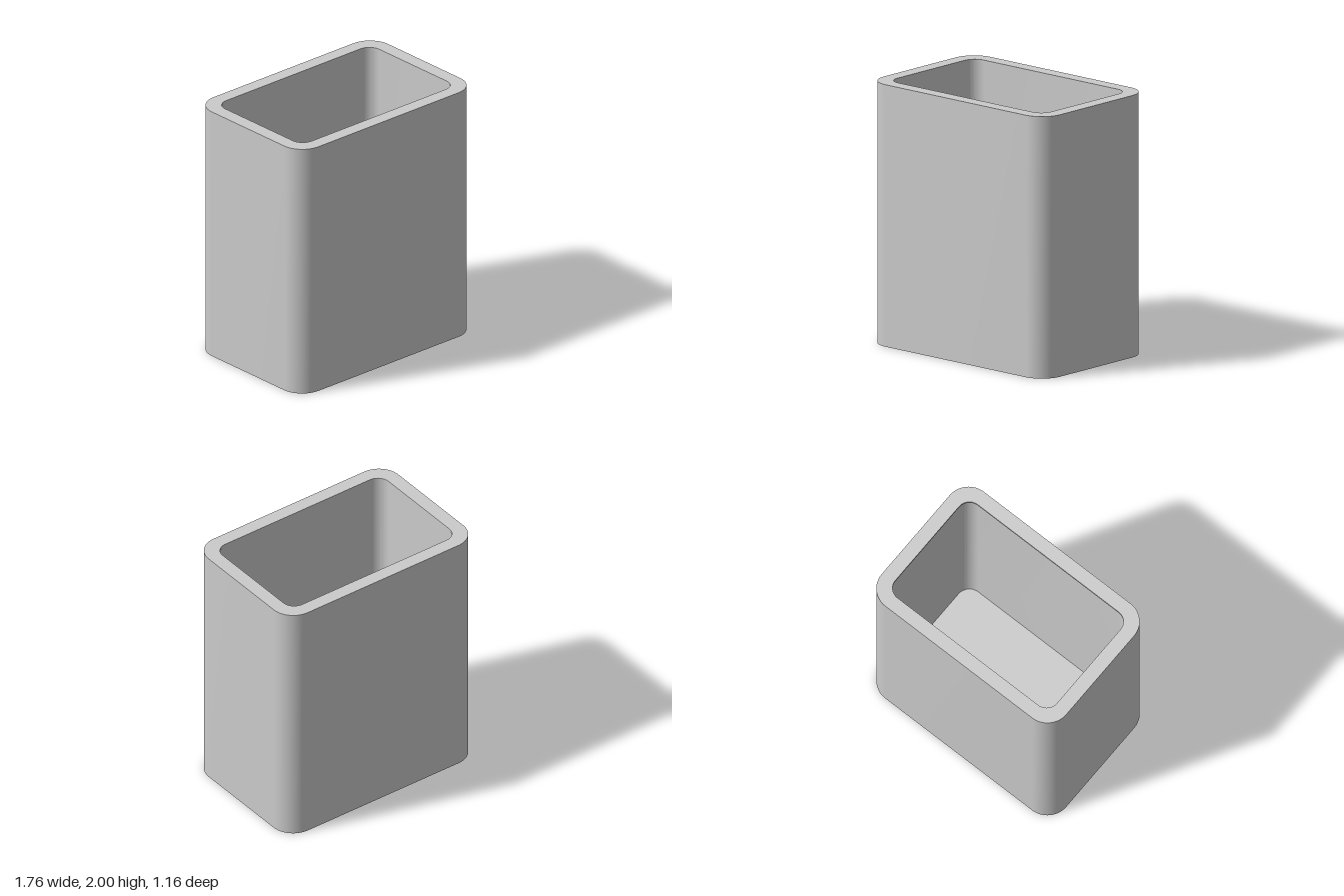
import * as THREE from 'three';
import { toCreasedNormals } from 'three/addons/utils/BufferGeometryUtils.js';

const CORNER_STEPS = 16;

// Rounded rectangle loop at height y, given half sizes and corner radius
function loop({ x, z, r, y }) {
  const centres = [[1, 1], [-1, 1], [-1, -1], [1, -1]];
  const points = [];
  centres.forEach(([sx, sz], q) => {
    for (let i = 0; i <= CORNER_STEPS; i++) {
      const a = (q + i / CORNER_STEPS) * Math.PI / 2;
      points.push(sx * (x - r) + r * Math.cos(a), y, sz * (z - r) + r * Math.sin(a));
    }
  });
  return points;
}

// Skin through successive loops, closed by a flat cap at each end
function skin(sections) {
  const n = 4 * (CORNER_STEPS + 1);
  const positions = sections.flatMap(loop);
  const index = [];
  for (let s = 0; s < sections.length - 1; s++) {
    for (let i = 0; i < n; i++) {
      const j = (i + 1) % n;
      const a = s * n + i, b = s * n + j, c = a + n, d = b + n;
      index.push(a, c, b, b, c, d);
    }
  }
  const last = (sections.length - 1) * n;
  for (let i = 1; i < n - 1; i++) {
    index.push(0, i, i + 1);
    index.push(last, last + i + 1, last + i);
  }
  const geometry = new THREE.BufferGeometry();
  geometry.setAttribute('position', new THREE.Float32BufferAttribute(positions, 3));
  geometry.setIndex(index);
  return toCreasedNormals(geometry, Math.PI / 6);
}

export function createModel() {
  const group = new THREE.Group();
  group.name = 'openContainer';

  const outer = { x: 0.88, z: 0.58, r: 0.18 };
  const mouth = { x: 0.77, z: 0.473, r: 0.1 };
  const cavity = { x: 0.775, z: 0.478, r: 0.105 };

  // Outside wall, rim, shallow lip, inside wall and floor in one closed shell
  const shell = new THREE.Mesh(
    skin([
      { ...outer, y: 0 },
      { ...outer, y: 2 },
      { ...mouth, y: 2 },
      { ...mouth, y: 1.98 },
      { ...cavity, y: 1.98 },
      { ...cavity, y: 0.1 },
    ]),
    new THREE.MeshStandardMaterial({ color: 0xcccccc })
  );
  shell.name = 'containerShell';
  group.add(shell);
  return group;
}
